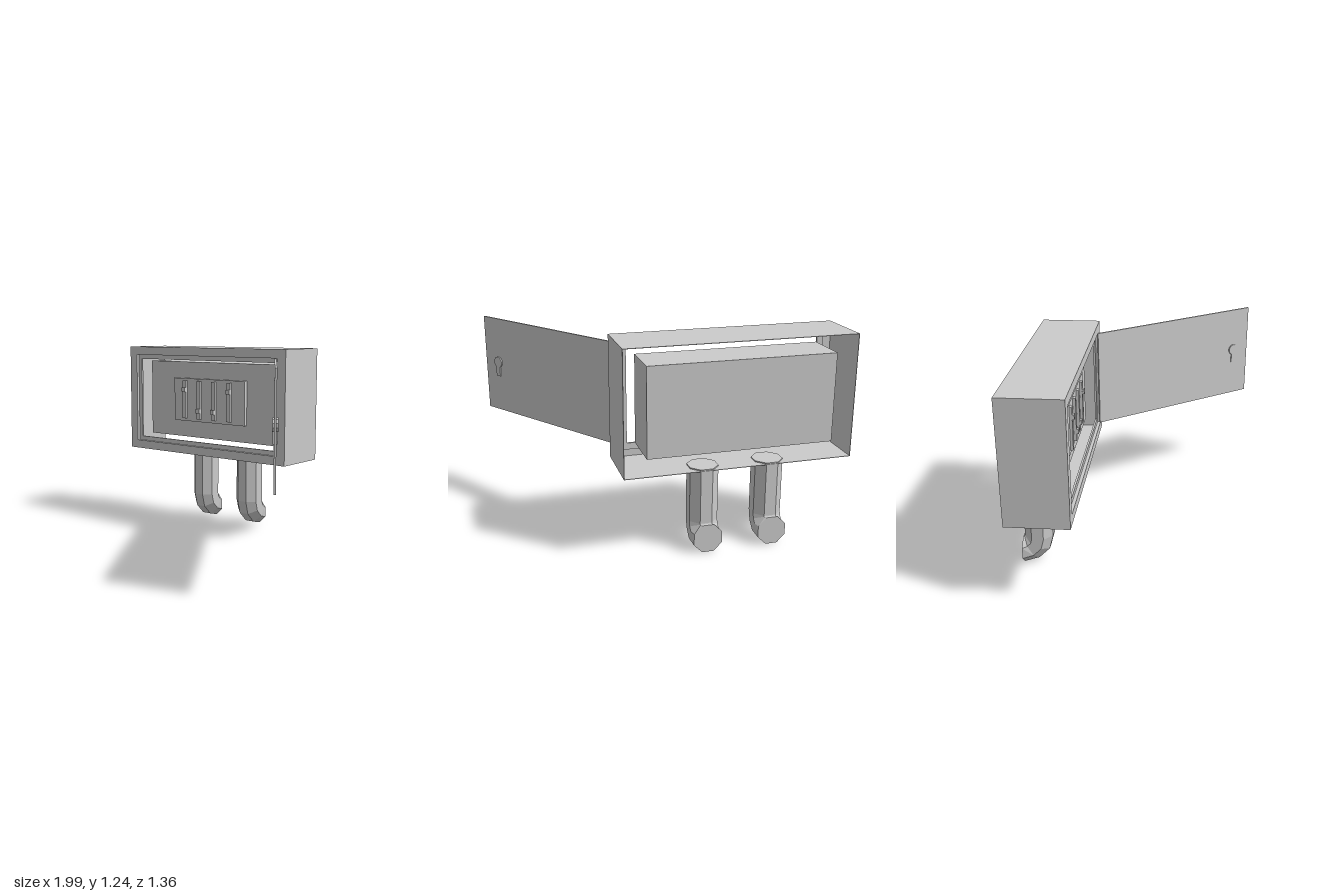
import * as THREE from 'three';

const material = new THREE.MeshStandardMaterial({ color: 0xcccccc, flatShading: true });
const CX = -0.315, CY = 0.882; // centre of the cabinet face

function add(parent, name, geometry, x = 0, y = 0, z = 0) {
  const mesh = new THREE.Mesh(geometry, material);
  mesh.name = name;
  mesh.position.set(x, y, z);
  parent.add(mesh);
  return mesh;
}

const box = (w, h, d) => new THREE.BoxGeometry(w, h, d);

function rectPath(path, w, h) {
  path.moveTo(-w / 2, -h / 2);
  path.lineTo(w / 2, -h / 2);
  path.lineTo(w / 2, h / 2);
  path.lineTo(-w / 2, h / 2);
  path.closePath();
  return path;
}

// Rectangular ring extruded along z
function ring(w, h, holeW, holeH, depth) {
  const shape = rectPath(new THREE.Shape(), w, h);
  shape.holes.push(rectPath(new THREE.Path(), holeW, holeH));
  return new THREE.ExtrudeGeometry(shape, { depth, bevelEnabled: false });
}

// Octagonal pipe: a cylinder whose lower rows are swept round a quarter bend
function pipeGeometry() {
  const geometry = new THREE.CylinderGeometry(0.092, 0.092, 4, 8, 4, false, Math.PI / 8);
  const p = geometry.attributes.position;
  for (let i = 0; i < p.count; i++) {
    const row = Math.round(2 - p.getY(i));
    const angle = Math.max(0, row - 1) * Math.PI / 6;
    const radius = 0.095 + p.getZ(i);
    const x = p.getX(i) - (row === 4 ? 0.012 : 0);
    const y = row === 0 ? 0.522 : 0.187 - radius * Math.sin(angle);
    p.setXYZ(i, x, y, -0.685 + radius * Math.cos(angle));
  }
  geometry.computeVertexNormals();
  return geometry;
}

export function createModel() {
  const model = new THREE.Group();
  model.name = 'openElectricalCabinet';

  // Thin open-backed housing, front frame and recessed ledge
  const cabinet = new THREE.Group();
  cabinet.name = 'cabinet';
  cabinet.position.set(CX, CY, 0);
  model.add(cabinet);
  add(cabinet, 'housingWalls', ring(1.37, 0.74, 1.364, 0.734, 0.345), 0, 0, -0.68);
  add(cabinet, 'frontFrame', ring(1.37, 0.74, 1.24, 0.625, 0.02), 0, 0, -0.335);
  add(cabinet, 'doorLedge', ring(1.26, 0.645, 1.18, 0.565, 0.012), 0, 0, -0.347);

  // Inner block carrying the switch panel
  add(cabinet, 'innerBlock', box(1.11, 0.53, 0.275), 0, 0.003, -0.5425);
  add(cabinet, 'switchPanel', box(0.625, 0.3, 0.026), 0.003, 0.003, -0.392);
  [-0.52, -0.39, -0.26, -0.125].forEach((x, i) => {
    const toggleY = i === 0 || i === 3 ? 0.075 : -0.07;
    add(cabinet, 'switchTrack', box(0.032, 0.265, 0.016), x - CX, 0.005, -0.371);
    add(cabinet, 'switchToggle', box(0.03, 0.03, 0.014), x - CX, toggleY, -0.358);
  });

  // Open door, local x running from the hinge outward
  const door = new THREE.Group();
  door.name = 'door';
  door.position.set(0.29, CY, -0.318);
  door.rotation.y = -Math.atan2(0.99, 0.7);
  model.add(door);
  add(door, 'doorPanel', box(1.212, 0.62, 0.012), 0.606, 0, 0);

  // Lock plate showing on both faces of the door
  const disc = new THREE.CylinderGeometry(0.037, 0.037, 0.03, 10);
  disc.rotateX(Math.PI / 2);
  add(door, 'lockDisc', disc, 1.088, 0.02, 0);
  add(door, 'lockStem', box(0.036, 0.09, 0.026), 1.092, -0.03, 0);

  // Pair of bent conduits
  const pipe = pipeGeometry();
  for (const x of [-0.508, -0.112]) add(model, 'conduit', pipe, x, 0, 0);

  return model;
}
